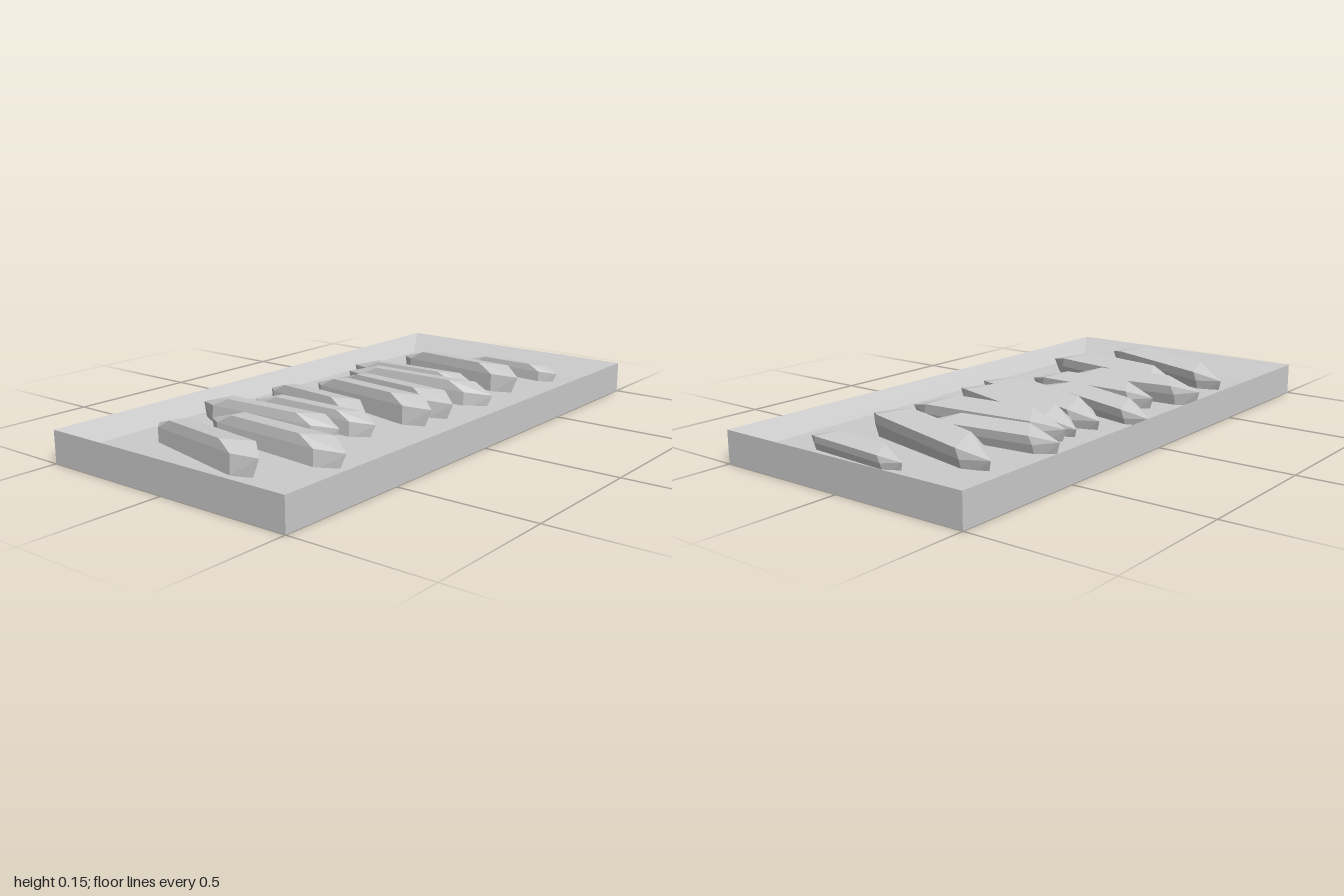
import * as THREE from 'three';
import { ConvexGeometry } from 'three/addons/geometries/ConvexGeometry.js';

const material = new THREE.MeshStandardMaterial({ color: 0xcccccc, flatShading: true });

// Shallow tray: rectangular loops run up the outside, over the sharp rim and down to the floor
function trayGeometry() {
  const loops = [[0.5, 0, 1], [0.5, 0.115, 1], [0.445, 0.05, 0.9]].map(([x, y, z]) =>
    [[x, y, z], [x, y, -z], [-x, y, -z], [-x, y, z]]);
  const positions = [];
  const quad = (a, b, c, d) => positions.push(...a, ...b, ...c, ...a, ...c, ...d);
  for (let k = 0; k < 2; k++) {
    for (let i = 0; i < 4; i++) {
      const j = (i + 1) % 4;
      quad(loops[k][i], loops[k][j], loops[k + 1][j], loops[k + 1][i]);
    }
  }
  quad(...loops[2]);
  quad(...[...loops[0]].reverse());
  const geometry = new THREE.BufferGeometry();
  geometry.setAttribute('position', new THREE.Float32BufferAttribute(positions, 3));
  geometry.computeVertexNormals();
  return geometry;
}

// Crystal of length 1 along x: pointed belt, flat top and a narrower underside
function crystalGeometry() {
  const points = [];
  for (const s of [-1, 1]) {
    const add = (x, y, z) => points.push(new THREE.Vector3(s * x, y, z));
    add(0.5, 0, 0);
    add(0.36, 0, 0.083);
    add(0.36, 0, -0.083);
    add(0.25, 0.055, 0.083);
    add(0.34, 0.055, -0.08);
    add(0.36, -0.11, 0.07);
    add(0.36, -0.11, -0.07);
    add(0.46, -0.11, 0);
  }
  return new ConvexGeometry(points);
}

// Each crystal: left tip x, z, right tip x, z, highest point
const crystals = [
  [-0.37, 0.67, 0.225, 0.81, 0.15],
  [-0.275, 0.515, 0.37, 0.58, 0.142],
  [-0.42, 0.415, 0.165, 0.365, 0.14],
  [-0.315, 0.26, 0.235, 0.26, 0.132],
  [-0.43, 0.05, 0.12, 0.17, 0.132],
  [-0.325, -0.1, 0.31, 0.045, 0.15],
  [-0.315, -0.22, 0.315, -0.08, 0.145],
  [-0.32, -0.285, 0.325, -0.325, 0.14],
  [-0.385, -0.405, 0.16, -0.455, 0.127],
  [-0.33, -0.68, 0.3, -0.545, 0.15],
  [-0.11, -0.83, 0.33, -0.8, 0.112],
];

export function createModel() {
  const model = new THREE.Group();
  model.name = 'crystalTray';

  const tray = new THREE.Mesh(trayGeometry(), material);
  tray.name = 'tray';
  model.add(tray);

  const geometry = crystalGeometry();
  const tilt = 0.18;
  crystals.forEach(([x0, z0, x1, z1, top], i) => {
    const dx = x1 - x0, dz = z1 - z0, length = Math.hypot(dx, dz);
    const rise = 0.07 * length + 0.25 * Math.abs(dz) * Math.sin(tilt);
    const crystal = new THREE.Mesh(geometry, material);
    crystal.name = `crystal${i + 1}`;
    crystal.scale.setScalar(length);
    crystal.rotation.set(-tilt, -Math.atan2(dz, dx), 0);
    crystal.position.set((x0 + x1) / 2, top - rise, (z0 + z1) / 2);
    model.add(crystal);
  });
  return model;
}
